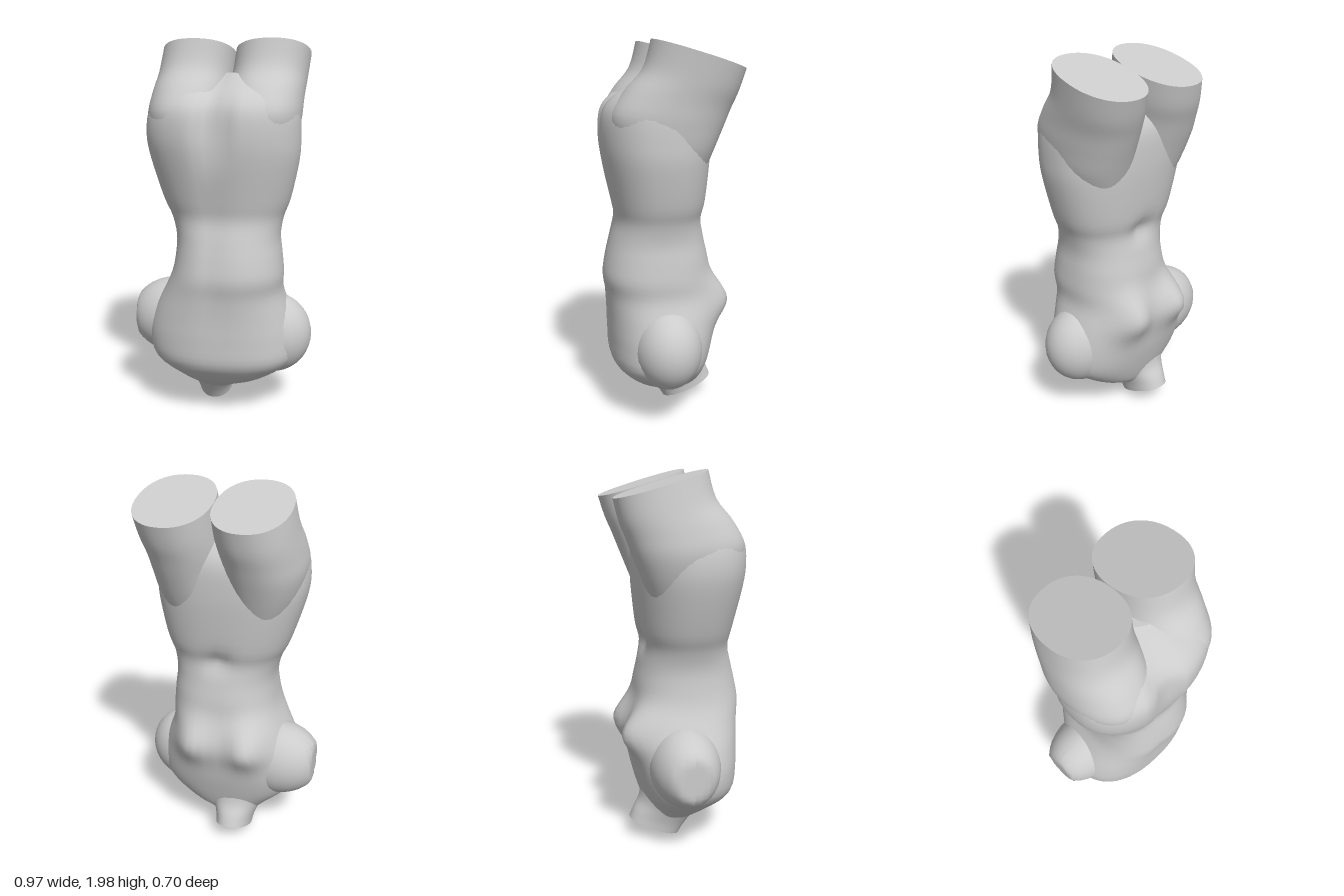
import * as THREE from 'three';

const SEG = 48;
const material = new THREE.MeshStandardMaterial({ color: 0xcccccc, side: THREE.DoubleSide });

// Smoothly subdivides a list of rings (Catmull-Rom on every value)
function refine(rings, steps) {
  const out = [];
  const at = (i) => rings[Math.max(0, Math.min(rings.length - 1, i))];
  for (let i = 0; i < rings.length - 1; i++) {
    for (let s = 0; s < steps; s++) {
      const t = s / steps;
      out.push(at(i).map((b, k) => {
        const a = at(i - 1)[k], c = at(i + 1)[k], d = at(i + 2)[k];
        return b + 0.5 * t * (c - a + t * (2 * a - 5 * b + 4 * c - d + t * (3 * (b - c) + d - a)));
      }));
    }
  }
  out.push(rings[rings.length - 1]);
  return out;
}

// Lofts rings [cx, cy, cz, rx, rz, tilt], listed bottom to top, with crisp end caps
function loft(name, rings, power = 2.2, shape = null) {
  const rows = refine(rings, 4), pos = [], idx = [];
  const bend = (v) => Math.sign(v) * Math.pow(Math.abs(v), 2 / power);
  const ringPoint = (r, j) => {
    const a = (j / SEG) * Math.PI * 2;
    const dz = r[4] * bend(Math.sin(a));
    const p = new THREE.Vector3(r[0] + r[3] * bend(Math.cos(a)), r[1] + r[5] * dz, r[2] + dz);
    if (shape) shape(p, Math.sin(a));
    return p;
  };
  rows.forEach((r, i) => {
    for (let j = 0; j < SEG; j++) {
      pos.push(...ringPoint(r, j).toArray());
      if (i === rows.length - 1) continue;
      const a = i * SEG + j, b = i * SEG + (j + 1) % SEG;
      idx.push(a, a + SEG, b, b, a + SEG, b + SEG);
    }
  });
  [rows[0], rows[rows.length - 1]].forEach((r, top) => {
    const base = pos.length / 3;
    pos.push(r[0], r[1], r[2]);
    for (let j = 0; j < SEG; j++) {
      pos.push(...ringPoint(r, j).toArray());
      const a = base + 1 + j, b = base + 1 + (j + 1) % SEG;
      idx.push(base, top ? b : a, top ? a : b);
    }
  });
  const g = new THREE.BufferGeometry();
  g.setAttribute('position', new THREE.Float32BufferAttribute(pos, 3));
  g.setIndex(idx);
  g.computeVertexNormals();
  const mesh = new THREE.Mesh(g, material);
  mesh.name = name;
  return mesh;
}

// Shoulder stump: an ellipsoid with its outer end flattened
function shoulder(name, centre, radii, limit) {
  const g = new THREE.SphereGeometry(1, 32, 20);
  g.scale(...radii);
  g.translate(...centre);
  const p = g.attributes.position;
  for (let i = 0; i < p.count; i++) {
    p.setX(i, THREE.MathUtils.clamp(p.getX(i), -limit, limit));
  }
  g.computeVertexNormals();
  const mesh = new THREE.Mesh(g, material);
  mesh.name = name;
  return mesh;
}

const bump = (x, y, cx, cy, r) => Math.exp(-((x - cx) ** 2 + (y - cy) ** 2) / (r * r));

// Chest and navel on the -z side; spine groove and cleft on the +z side
function sculptTorso(p, side) {
  const { x, y } = p;
  const weight = THREE.MathUtils.smoothstep(Math.abs(side), 0, 0.4);
  if (side < 0) {
    p.z -= weight * (0.1 * bump(x, y, 0.15, 0.67, 0.12) + 0.11 * bump(x, y, -0.17, 0.67, 0.12));
    p.z += weight * 0.03 * bump(x, y, 0.02, 1.12, 0.06);
  } else {
    const spine = Math.exp(-((x + 0.02) ** 2) / 0.003) * THREE.MathUtils.smoothstep(y, 0.3, 0.8);
    const cleft = Math.exp(-((x + 0.02) ** 2) / 0.004) * THREE.MathUtils.smoothstep(y, 1.3, 1.65);
    p.z -= weight * (0.012 * spine + 0.06 * cleft);
  }
}

export function createModel() {
  const model = new THREE.Group();
  model.name = 'invertedTorso';

  // Torso bounds per level: y, xMin, xMax, zMin, zMax (shoulders low, buttocks high)
  const levels = [
    [0.11, -0.13, 0.05, -0.12, 0.06],
    [0.15, -0.18, 0.13, -0.15, 0.12],
    [0.21, -0.25, 0.26, -0.18, 0.21],
    [0.32, -0.37, 0.39, -0.215, 0.305],
    [0.45, -0.40, 0.40, -0.245, 0.32],
    [0.58, -0.37, 0.37, -0.25, 0.325],
    [0.70, -0.31, 0.33, -0.225, 0.335],
    [0.80, -0.265, 0.33, -0.215, 0.35],
    [0.90, -0.245, 0.32, -0.21, 0.335],
    [1.00, -0.24, 0.31, -0.19, 0.31],
    [1.10, -0.265, 0.325, -0.175, 0.285],
    [1.20, -0.31, 0.36, -0.195, 0.30],
    [1.40, -0.37, 0.40, -0.215, 0.34],
    [1.52, -0.39, 0.405, -0.22, 0.355],
    [1.63, -0.38, 0.40, -0.215, 0.35],
    [1.70, -0.35, 0.385, -0.19, 0.315],
    [1.76, -0.30, 0.355, -0.14, 0.24],
    [1.83, -0.18, 0.26, -0.07, 0.1],
  ];
  model.add(loft('torso', levels.map(([y, x0, x1, z0, z1]) =>
    [(x0 + x1) / 2, y, (z0 + z1) / 2, (x1 - x0) / 2, (z1 - z0) / 2, 0]), 2.3, sculptTorso));

  // Thighs growing out of the buttocks, cut off at a slant
  model.add(loft('rightThigh', [
    [-0.16, 1.32, 0.0, 0.12, 0.15, 0],
    [-0.175, 1.46, 0.025, 0.175, 0.23, 0],
    [-0.178, 1.60, 0.03, 0.207, 0.28, 0.08],
    [-0.17, 1.71, -0.015, 0.203, 0.268, 0.15],
    [-0.155, 1.81, -0.075, 0.197, 0.24, 0.22],
    [-0.14, 1.93, -0.105, 0.19, 0.233, 0.29],
  ]));
  model.add(loft('leftThigh', [
    [0.18, 1.32, 0.0, 0.12, 0.15, 0],
    [0.195, 1.46, 0.025, 0.18, 0.23, 0],
    [0.208, 1.60, 0.03, 0.195, 0.28, 0.08],
    [0.215, 1.71, -0.02, 0.197, 0.265, 0.15],
    [0.23, 1.81, -0.085, 0.195, 0.235, 0.22],
    [0.245, 1.93, -0.12, 0.195, 0.23, 0.3],
  ]));

  // Arm stumps
  model.add(shoulder('rightShoulder', [-0.27, 0.5, -0.015], [0.255, 0.215, 0.185], 0.485));
  model.add(shoulder('leftShoulder', [0.27, 0.445, 0.035], [0.213, 0.22, 0.18], 0.485));

  // Neck stump, leaning toward the chest side
  model.add(loft('neck', [
    [-0.06, 0.072, -0.133, 0.098, 0.137, -0.42],
    [-0.06, 0.125, -0.105, 0.108, 0.142, -0.4],
    [-0.055, 0.2, -0.055, 0.145, 0.155, -0.3],
    [-0.04, 0.31, 0.0, 0.22, 0.195, -0.1],
  ]));
  return model;
}
